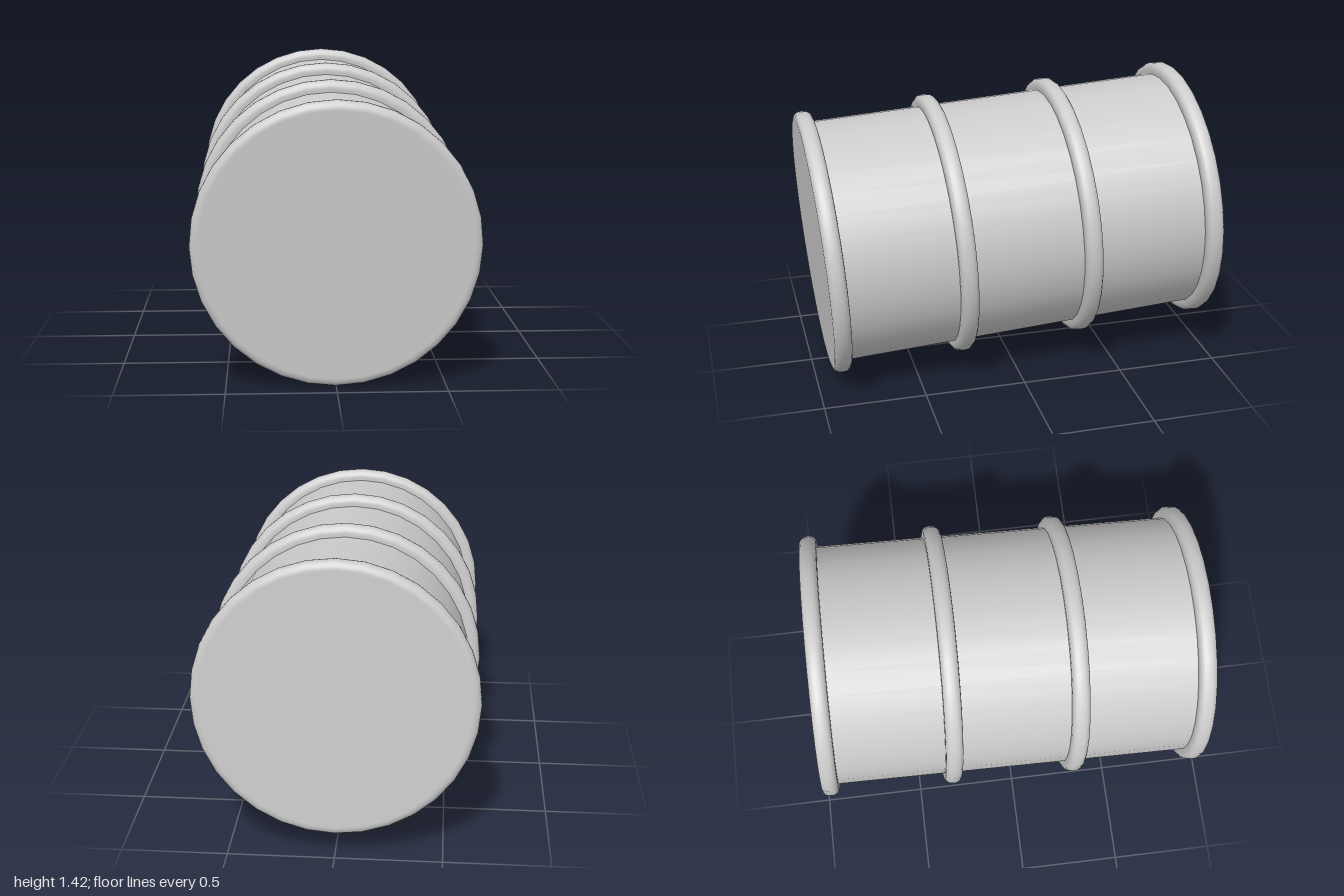
import * as THREE from 'three';

const SEGMENTS = 32;
const BODY_R = 0.6, HOOP_R = 0.655, HALF = 0.0425, FILLET = 0.034;
const TILT = 0.0627;

// Rounded hoop cross-section, starting and ending at radius rLow / rHigh
function hoopProfile(rLow, rHigh) {
  const pts = [new THREE.Vector2(rLow, -HALF), new THREE.Vector2(HOOP_R - FILLET - 0.008, -HALF)];
  for (const side of [-1, 1]) {
    for (let i = 0; i <= 4; i++) {
      const a = (side < 0 ? i - 4 : i) * Math.PI / 8;
      pts.push(new THREE.Vector2(
        HOOP_R - FILLET + FILLET * Math.cos(a),
        side * (HALF - FILLET) + FILLET * Math.sin(a)));
    }
  }
  pts.push(new THREE.Vector2(HOOP_R - FILLET - 0.008, HALF), new THREE.Vector2(rHigh, HALF));
  return pts;
}

export function createModel() {
  const model = new THREE.Group();
  model.name = 'barrel';
  const material = new THREE.MeshStandardMaterial({ color: 0xcccccc });

  // Drum lies along z, its back end raised a little
  const drum = new THREE.Group();
  drum.name = 'drum';
  drum.rotation.x = TILT;
  drum.position.y = 0.712;
  model.add(drum);

  const add = (name, geometry, z = 0) => {
    geometry.rotateX(Math.PI / 2);
    const mesh = new THREE.Mesh(geometry, material);
    mesh.name = name;
    mesh.position.z = z;
    drum.add(mesh);
  };

  // Straight body wall
  add('body', new THREE.CylinderGeometry(BODY_R, BODY_R, 1.84, SEGMENTS, 1, true));

  // Closed end rims and open middle hoops
  const inner = BODY_R - 0.01;
  add('backLid', new THREE.LatheGeometry(hoopProfile(0, inner), SEGMENTS), -0.919);
  add('backHoop', new THREE.LatheGeometry(hoopProfile(inner, inner), SEGMENTS), -0.306);
  add('frontHoop', new THREE.LatheGeometry(hoopProfile(inner, inner), SEGMENTS), 0.306);
  add('frontLid', new THREE.LatheGeometry(hoopProfile(inner, 0), SEGMENTS), 0.919);

  return model;
}
